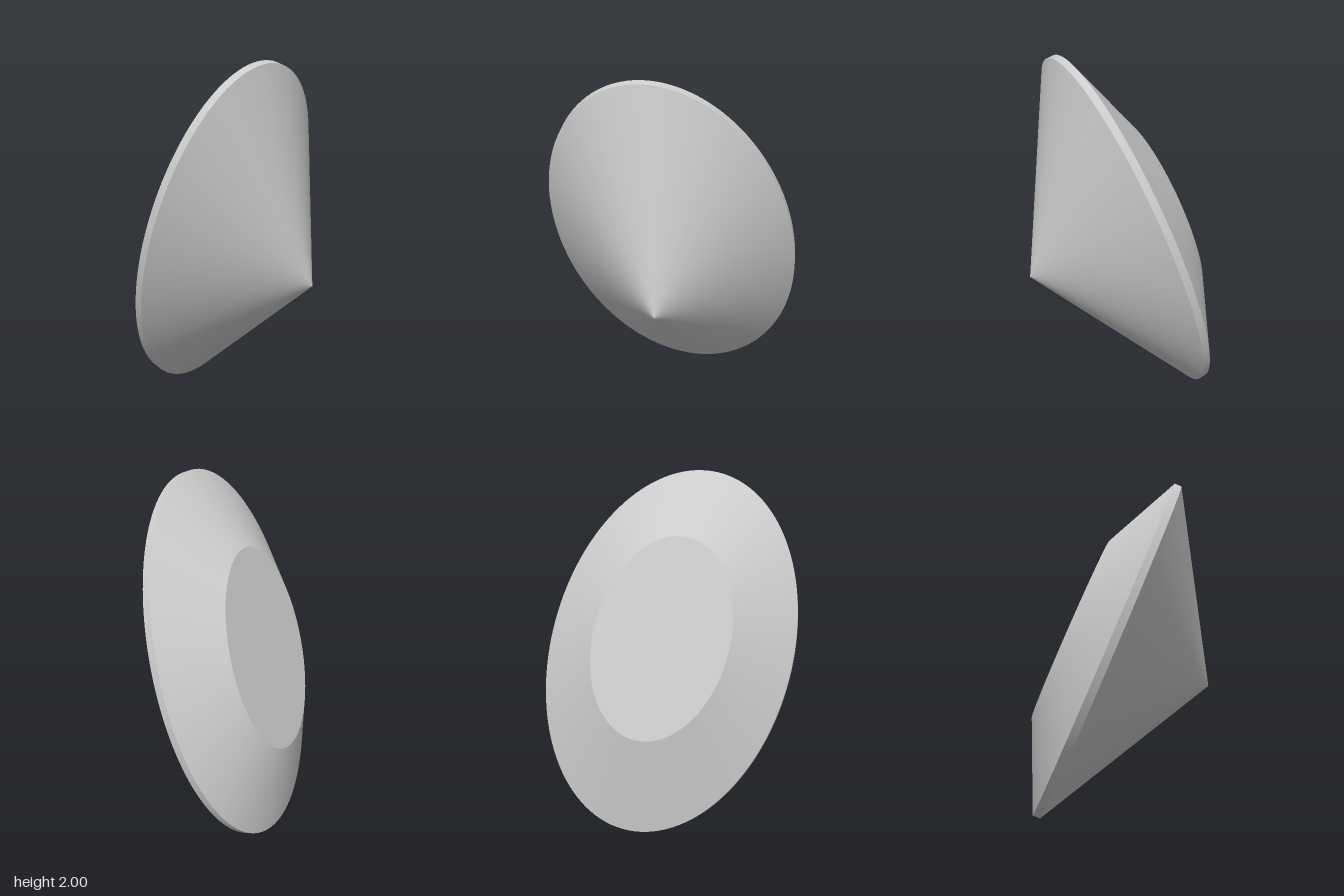
import * as THREE from 'three';

const SEGMENTS = 128;
const HALF_WIDTH = 0.71;   // short half axis of the oval girdle
const HALF_LENGTH = 1.065; // long half axis
const PAVILION = 0.61, GIRDLE = 0.0426, CROWN = 0.2215, TABLE = 0.54;

export function createModel() {
  const gem = new THREE.Group();
  gem.name = 'ovalGem';
  const material = new THREE.MeshStandardMaterial({ color: 0xcccccc });

  // One oval band from [radius, height] to [radius, height]; separate bands keep the rims sharp
  const addBand = (name, from, to) => {
    const points = [new THREE.Vector2(...from), new THREE.Vector2(...to)];
    const geometry = new THREE.LatheGeometry(points, SEGMENTS);
    geometry.scale(HALF_WIDTH, 1, HALF_LENGTH);
    const mesh = new THREE.Mesh(geometry, material);
    mesh.name = name;
    gem.add(mesh);
  };

  const top = GIRDLE + CROWN;
  addBand('pavilion', [0, -PAVILION], [1, 0]);
  addBand('girdle', [1, 0], [1, GIRDLE]);
  addBand('crown', [1, GIRDLE], [TABLE, top]);
  addBand('table', [TABLE, top], [0, top]);

  // Tip the gem so its point faces forward and down, with a slight roll
  gem.rotation.set(THREE.MathUtils.degToRad(-70), THREE.MathUtils.degToRad(-10), 0);
  gem.position.set(0, 0.993, -0.065);

  const model = new THREE.Group();
  model.name = 'gemModel';
  model.add(gem);
  return model;
}
